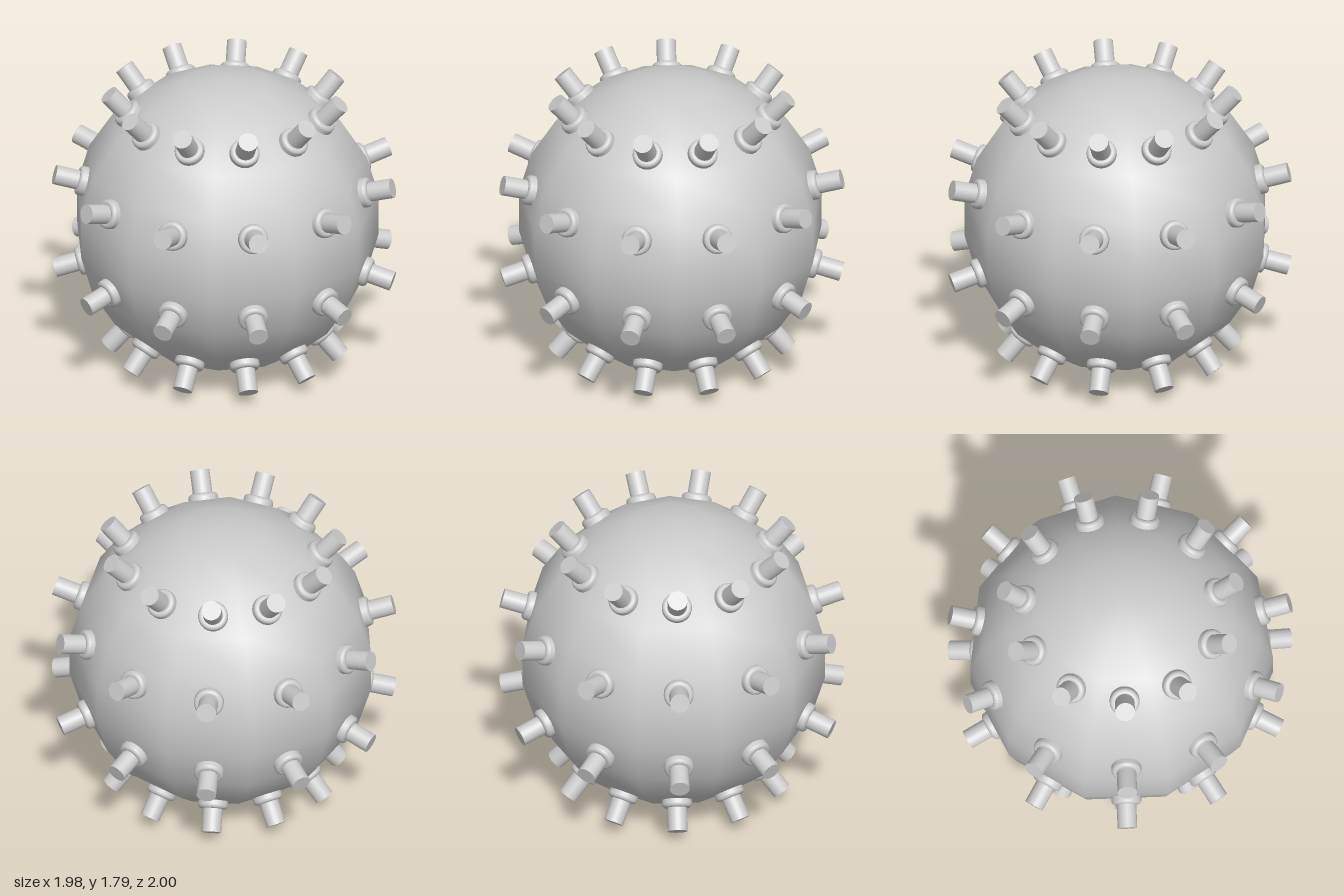
import * as THREE from 'three';

const SIDES = 11;          // sphere columns and rows
const R = 0.895;           // sphere radius
const STEP = Math.PI / SIDES;

export function createModel() {
  const model = new THREE.Group();
  model.name = 'studdedBall';
  const material = new THREE.MeshStandardMaterial({ color: 0xcccccc });

  // Low-poly, smooth-shaded ball with a corner column on +x
  const ballGeometry = new THREE.SphereGeometry(R, SIDES, SIDES).rotateY(Math.PI);
  const ball = new THREE.Mesh(ballGeometry, material);
  ball.name = 'ball';
  model.add(ball);

  // Stud: a straight pin, standing on a base at y = 0
  const length = 0.184;
  const pinGeometry = new THREE.CylinderGeometry(0.057, 0.057, length + 0.04, 24)
    .translate(0, (length - 0.04) / 2, 0);

  // Collar: a short wall that rounds over towards the pin
  const profile = [new THREE.Vector2(0.087, -0.05)];
  for (let i = 0; i <= 8; i++) {
    const a = (i / 8) * Math.PI * 0.9;
    profile.push(new THREE.Vector2(0.064 + 0.023 * Math.cos(a), 0.024 + 0.023 * Math.sin(a)));
  }
  const collarGeometry = new THREE.LatheGeometry(profile, 24);

  // Every second row of faces carries a stud at each face centre, along its normal
  const up = new THREE.Vector3(0, 1, 0);
  for (const row of [2, 4, 6, 8]) {
    const a = row * STEP, b = a + STEP;
    const apothem = R * Math.cos(STEP);
    const h0 = apothem * Math.sin(a), h1 = apothem * Math.sin(b);
    const y0 = R * Math.cos(a), y1 = R * Math.cos(b);
    for (let i = 0; i < SIDES; i++) {
      const yaw = (i + 0.5) * 2 * STEP;
      const c = Math.cos(yaw), s = Math.sin(yaw);
      const h = (h0 + h1) / 2;
      const normal = new THREE.Vector3((y0 - y1) * c, h1 - h0, (y0 - y1) * s).normalize();

      const stud = new THREE.Group();
      stud.name = 'stud';
      stud.position.set(h * c, (y0 + y1) / 2, h * s);
      stud.quaternion.setFromUnitVectors(up, normal);
      const pin = new THREE.Mesh(pinGeometry, material);
      pin.name = 'pin';
      const collar = new THREE.Mesh(collarGeometry, material);
      collar.name = 'collar';
      stud.add(pin, collar);
      model.add(stud);
    }
  }

  // Rest on the ground and centre the uneven stud ring
  model.position.set(0.016, R, 0);
  const root = new THREE.Group();
  root.name = 'model';
  root.add(model);
  return root;
}
